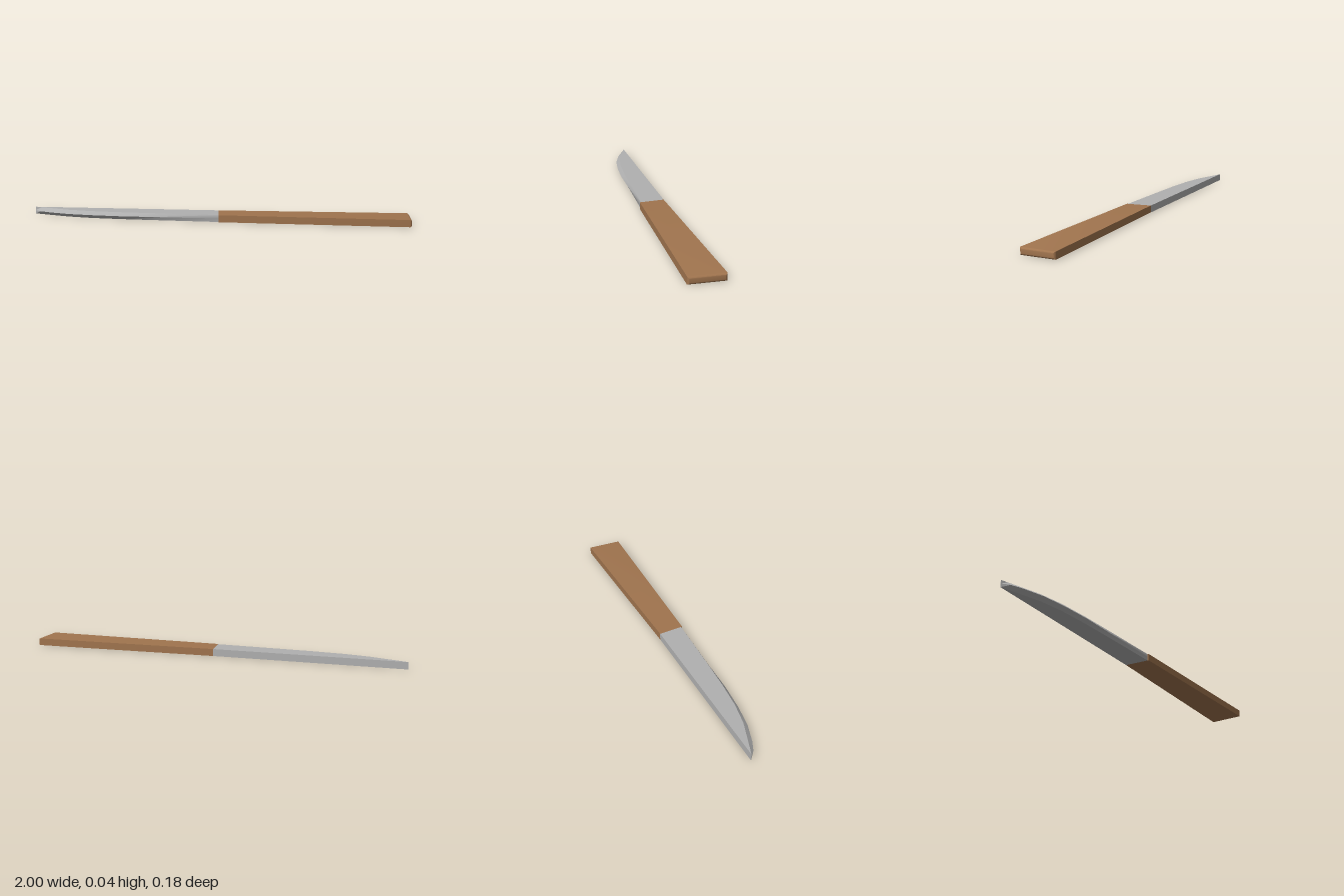
import * as THREE from 'three';
import { toCreasedNormals } from 'three/addons/utils/BufferGeometryUtils.js';

const H = 0.037; // thickness of the knife lying flat

// Skins equal-length rings of [x, y, z] running from -x to +x, with both ends capped
function loft(rings) {
  const n = rings[0].length;
  const index = [];
  for (let r = 0; r < rings.length - 1; r++) {
    for (let i = 0; i < n; i++) {
      const a = r * n + i, b = r * n + (i + 1) % n;
      index.push(a, b, a + n, a + n, b, b + n);
    }
  }
  const last = (rings.length - 1) * n;
  for (let i = 1; i < n - 1; i++) {
    index.push(0, i + 1, i);
    index.push(last, last + i, last + i + 1);
  }
  const g = new THREE.BufferGeometry();
  g.setAttribute('position', new THREE.Float32BufferAttribute(rings.flat(2), 3));
  g.setIndex(index);
  return toCreasedNormals(g, 0.6);
}

export function createModel() {
  const model = new THREE.Group();
  const steel = new THREE.MeshStandardMaterial({ color: 0xb0b0b0 });
  const wood = new THREE.MeshStandardMaterial({ color: 0xa0744e });
  steel.name = 'steel';
  wood.name = 'wood';
  const add = (name, geometry, material) => {
    const mesh = new THREE.Mesh(geometry, material);
    mesh.name = name;
    model.add(mesh);
  };

  // Blade: straight spine at the back, curved cutting edge bevelled from both faces
  const spine = -0.066;
  const stations = [ // x, bevel z, edge z
    [-1, -0.066, -0.065], [-0.965, -0.054, -0.036], [-0.91, -0.036, -0.012],
    [-0.8, 0.0, 0.022], [-0.67, 0.024, 0.042], [-0.51, 0.038, 0.055],
    [-0.32, 0.047, 0.058], [0.013, 0.06, 0.061],
  ];
  const bladeRings = stations.map(([x, bevel, edge], i) => {
    const back = i === stations.length - 1 ? 0 : x; // slanted joint with the handle
    return [[back, 0, spine], [back, H, spine], [x, H, bevel], [x, H / 2, edge], [x, 0, bevel]];
  });
  add('blade', loft(bladeRings), steel);

  // Handle: flares toward the butt, whose rim is rounded over
  const ring = (xBack, xFront, w, inset) => [
    [xBack, inset, -w], [xBack, H - inset, -w], [xFront, H - inset, w], [xFront, inset, w],
  ];
  const handleRings = [ring(0, 0.013, 0.066, 0)];
  const radius = 0.01, steps = 4;
  for (let i = 0; i <= steps; i++) {
    const t = (i / steps) * Math.PI / 2;
    const inset = radius * (1 - Math.cos(t));
    const x = 1 - radius + radius * Math.sin(t);
    handleRings.push(ring(x, x, 0.09 - inset, inset));
  }
  add('handle', loft(handleRings), wood);

  return model;
}
